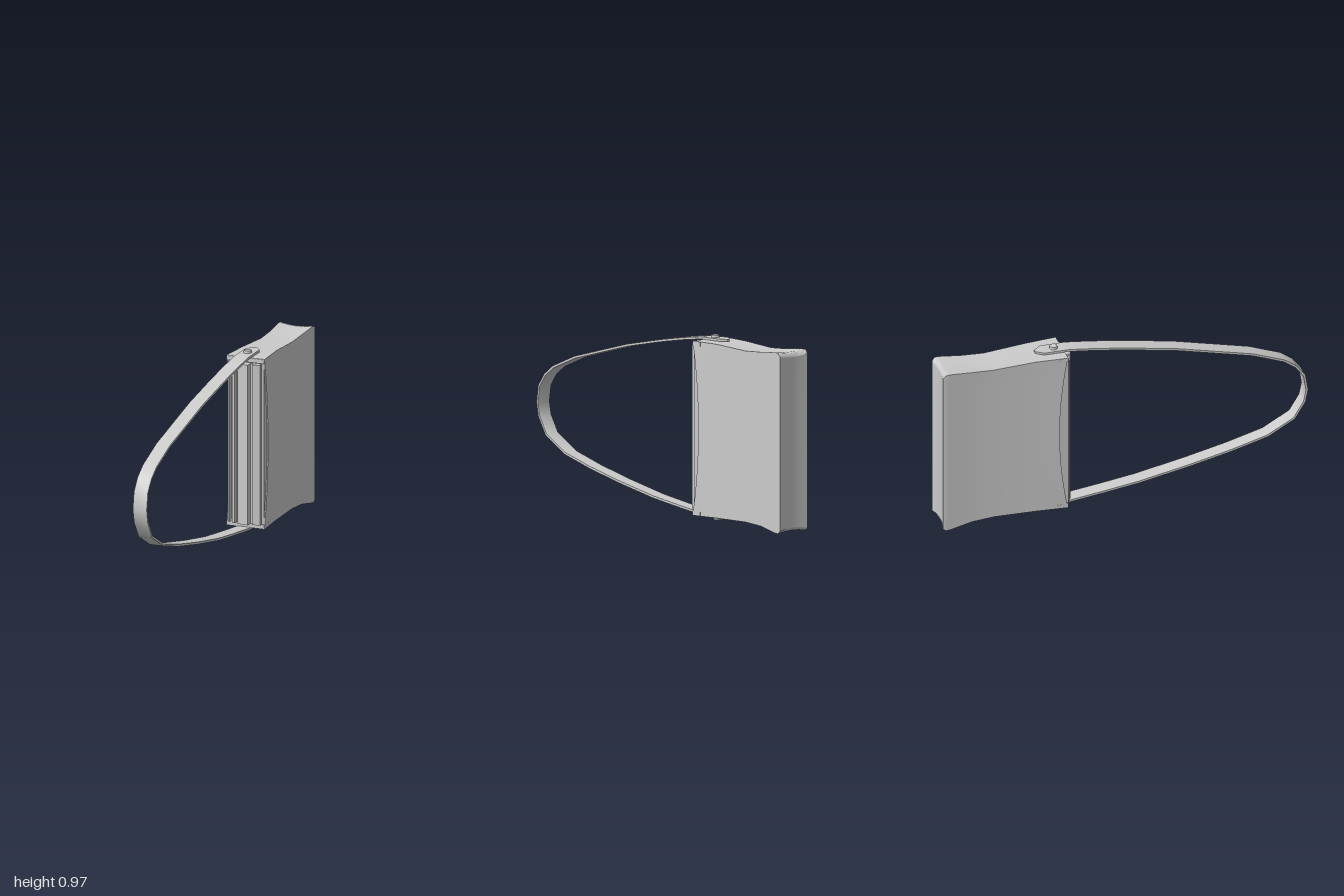
import * as THREE from 'three';

const material = new THREE.MeshStandardMaterial({ color: 0xcccccc, side: THREE.DoubleSide });

function add(group, name, geometry) {
  const mesh = new THREE.Mesh(geometry, material);
  mesh.name = name;
  group.add(mesh);
  return mesh;
}

// Piecewise linear lookup in a list of stations; column 0 is the key, falling.
function sample(stations, key, column) {
  for (let i = 1; i < stations.length; i++) {
    const a = stations[i - 1], b = stations[i];
    if (key >= b[0] || i === stations.length - 1) {
      const t = (key - a[0]) / (b[0] - a[0]);
      return THREE.MathUtils.lerp(a[column], b[column], t);
    }
  }
}

// Bag body: a subdivided box pulled onto sections of [z, half width, bottom, top]
function bodyGeometry() {
  const sections = [
    [-0.325, 0.108, 0.030, 0.943],
    [-0.50, 0.096, 0.034, 0.944],
    [-0.72, 0.088, 0.038, 0.934],
    [-0.84, 0.089, 0.031, 0.942],
    [-0.96, 0.095, 0.009, 0.955],
    [-0.985, 0.097, 0.008, 0.954],
    [-1.0, 0.094, 0.022, 0.935],
  ];
  const n = sections.length - 1;
  const geometry = new THREE.BoxGeometry(2, 2, 1, 4, 10, n);
  const p = geometry.attributes.position;
  for (let i = 0; i < p.count; i++) {
    const u = p.getX(i), v = p.getY(i);
    const k = Math.round((0.5 - p.getZ(i)) * n);
    const [z, halfWidth, bottom, top] = sections[k];
    const sag = (k / n) * 0.012 * (1 - u * u); // hollow between the rear corners
    const y = THREE.MathUtils.lerp(bottom, top, (v + 1) / 2) - Math.sign(v) * sag * Math.abs(v);
    const mouth = k === 0 ? 0.045 * (1 - v * v) : 0; // mouth edge bows inward
    const rear = k === n ? 0.012 * (1 - u * u) : 0;
    p.setXYZ(i, u * halfWidth - 0.002, y, z - mouth + rear);
  }
  geometry.computeVertexNormals();
  return geometry;
}

// Pleated insert in the mouth: stepped plan profile of [x, z], extruded upward
function pleatGeometry() {
  const plan = [
    [-0.098, -0.40], [-0.098, -0.318], [-0.085, -0.308], [-0.085, -0.335], [-0.066, -0.335],
    [-0.066, -0.298], [-0.048, -0.292], [-0.048, -0.32], [-0.03, -0.32], [-0.03, -0.285],
    [0.03, -0.278], [0.03, -0.315], [0.05, -0.315], [0.05, -0.293], [0.09, -0.303],
    [0.09, -0.325], [0.1, -0.33], [0.1, -0.40],
  ];
  const shape = new THREE.Shape(plan.map(([x, z]) => new THREE.Vector2(x, -z)));
  const geometry = new THREE.ExtrudeGeometry(shape, { depth: 0.86, bevelEnabled: false });
  geometry.rotateX(-Math.PI / 2);
  geometry.translate(0, 0.055, 0);
  return geometry;
}

// Strap: a thin rectangular section swept along a path in the z-y plane
function strapGeometry() {
  const path = [
    [-0.474, 0.951], [-0.435, 0.952], [-0.3, 0.948], [-0.16, 0.928], [0, 0.9], [0.28, 0.843],
    [0.5, 0.784], [0.7, 0.73], [0.87, 0.66], [0.935, 0.612], [0.98, 0.55], [0.994, 0.46],
    [0.98, 0.39], [0.925, 0.3], [0.78, 0.22], [0.58, 0.168], [0.35, 0.12], [0.08, 0.072],
    [-0.1, 0.05], [-0.3, 0.028], [-0.435, 0.022], [-0.474, 0.024],
  ].map(([z, y]) => new THREE.Vector2(z, y));
  const last = path.length - 1;
  const half = 0.006;
  const rings = path.map((point, i) => {
    const tangent = path[Math.min(i + 1, last)].clone().sub(path[Math.max(i - 1, 0)]).normalize();
    const out = new THREE.Vector2(-tangent.y, tangent.x).multiplyScalar(half);
    const w = i === 0 || i === last ? 0.008 : 0.039; // pointed ends
    return [[w, 1], [-w, 1], [-w, -1], [w, -1]].map(([x, s]) =>
      [x - 0.01, point.y + s * out.y, point.x + s * out.x]);
  });
  const position = [], index = [];
  // each of the four sides has its own vertices, smooth along the strap
  for (let side = 0; side < 4; side++) {
    const base = position.length / 3;
    rings.forEach((ring) => position.push(...ring[side], ...ring[(side + 1) % 4]));
    for (let i = 0; i < last; i++) {
      const a = base + i * 2;
      index.push(a, a + 2, a + 1, a + 1, a + 2, a + 3);
    }
  }
  // end caps
  for (const [ring, order] of [[rings[0], [0, 1, 2, 0, 2, 3]], [rings[last], [0, 2, 1, 0, 3, 2]]]) {
    const base = position.length / 3;
    position.push(...ring.flat());
    index.push(...order.map((k) => base + k));
  }
  const geometry = new THREE.BufferGeometry();
  geometry.setAttribute('position', new THREE.Float32BufferAttribute(position, 3));
  geometry.setIndex(index);
  geometry.computeVertexNormals();
  return geometry;
}

// Thin plates closing the mouth above and below the pleats
function mouthPlate(y) {
  const geometry = new THREE.BoxGeometry(0.212, 0.022, 0.06);
  geometry.translate(-0.002, y, -0.352);
  return geometry;
}

export function createModel() {
  const group = new THREE.Group();
  group.name = 'shoulderBag';

  add(group, 'body', bodyGeometry());
  add(group, 'pleatedInsert', pleatGeometry());
  add(group, 'upperMouthPlate', mouthPlate(0.93));
  add(group, 'lowerMouthPlate', mouthPlate(0.043));
  add(group, 'strap', strapGeometry());

  // Rivets fixing the strap ends
  for (const [name, y, z, flip] of [['upperRivet', 0.956, -0.372, 0], ['lowerRivet', 0.016, -0.39, Math.PI]]) {
    const rivet = add(group, name, new THREE.CylinderGeometry(0.02, 0.024, 0.026, 14));
    rivet.position.set(-0.01, y, z);
    rivet.rotation.x = flip;
  }
  return group;
}
